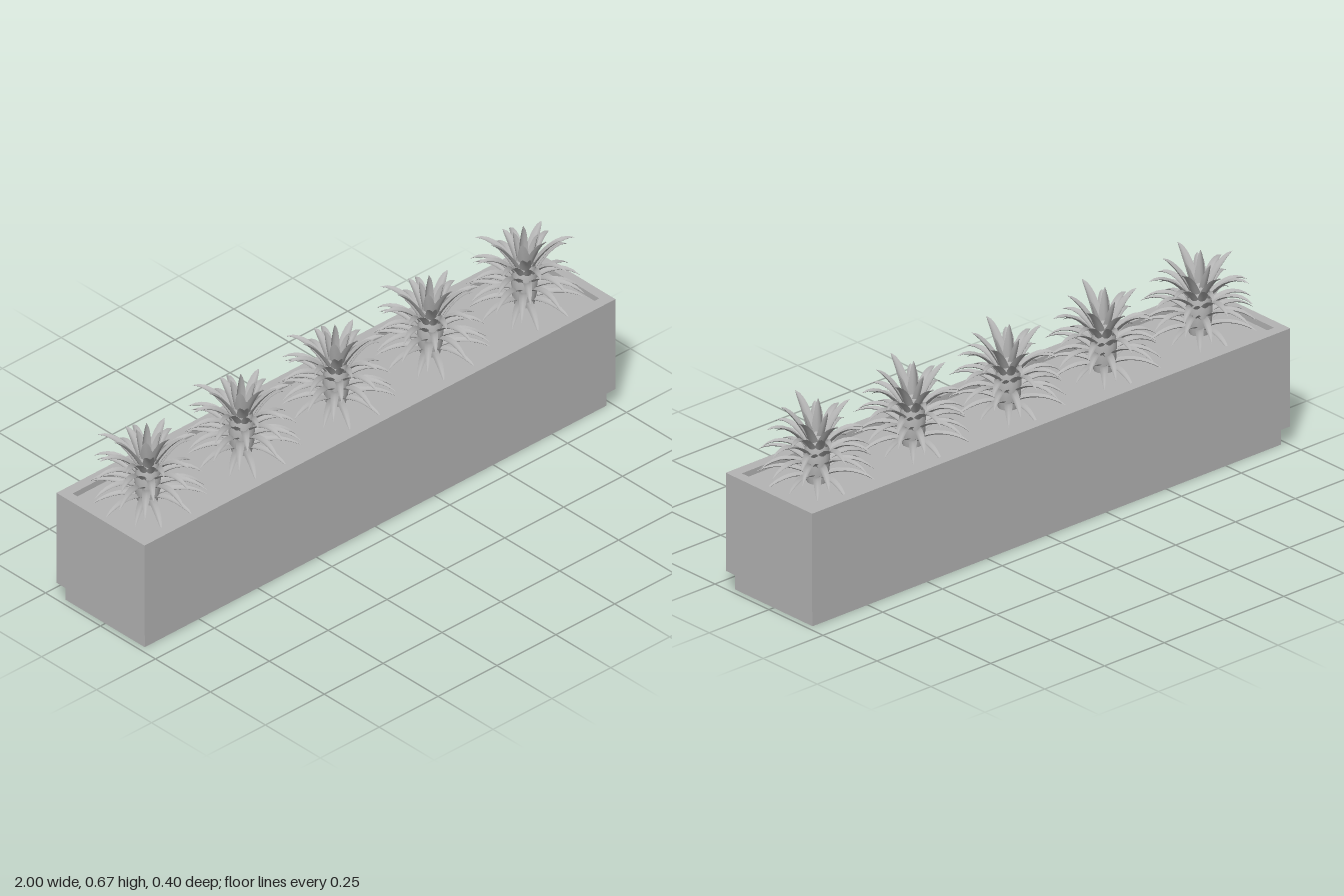
import * as THREE from 'three';
import { mergeGeometries } from 'three/addons/utils/BufferGeometryUtils.js';

const grey = new THREE.MeshStandardMaterial({ color: 0xb4b4b4 });
grey.name = 'stone grey';
const leafGrey = new THREE.MeshStandardMaterial({ color: 0xb4b4b4, side: THREE.DoubleSide });
leafGrey.name = 'leaf grey';

const SOIL_Y = 0.38;

// Tiers of leaves: count, first azimuth (0 = front), reach, root height, arch height, tip height, width
const TIERS = [
  [11, 0.15, 0.185, 0.395, 0.44, 0.395, 0.032],
  [11, 0.42, 0.190, 0.425, 0.50, 0.440, 0.034],
  [9, 0.10, 0.180, 0.450, 0.55, 0.500, 0.036],
  [8, 0.35, 0.165, 0.470, 0.59, 0.565, 0.038],
  [5, 0.63, 0.115, 0.490, 0.59, 0.615, 0.044],
  [1, 0.00, 0.100, 0.500, 0.62, 0.655, 0.046],
  [3, 1.20, 0.045, 0.510, 0.58, 0.625, 0.046],
  [1, 3.14, 0.006, 0.500, 0.60, 0.665, 0.050],
];

// Channelled, tapering leaf swept along an arching curve in the y-z plane
function leafGeometry(reach, rootY, archY, tipY, width) {
  const curve = new THREE.QuadraticBezierCurve3(
    new THREE.Vector3(0, rootY, 0.015),
    new THREE.Vector3(0, archY, 0.015 + reach * 0.45),
    new THREE.Vector3(0, tipY, reach));
  const rows = 8, cols = 4, pos = [], index = [];
  for (let i = 0; i <= rows; i++) {
    const t = i / rows;
    const p = curve.getPoint(t), d = curve.getTangent(t);
    const half = 0.5 * width * (0.75 + 0.9 * t) * Math.pow(1 - t, 0.75) + 0.0008;
    for (let j = 0; j <= cols; j++) {
      const s = (j / cols) * 2 - 1;
      const lift = half * 0.55 * s * s; // edges curl towards the upper side
      pos.push(s * half, p.y + d.z * lift, p.z - d.y * lift);
    }
  }
  for (let i = 0; i < rows; i++) {
    for (let j = 0; j < cols; j++) {
      const a = i * (cols + 1) + j, b = a + cols + 1;
      index.push(a, b, a + 1, a + 1, b, b + 1);
    }
  }
  const g = new THREE.BufferGeometry();
  g.setAttribute('position', new THREE.Float32BufferAttribute(pos, 3));
  g.setIndex(index);
  g.computeVertexNormals();
  return g;
}

function rosetteGeometry() {
  const leaves = [];
  TIERS.forEach(([count, start, reach, rootY, archY, tipY, width], tier) => {
    for (let i = 0; i < count; i++) {
      // small regular variation keeps the rosette natural
      const vary = Math.sin(i * 2.4 + tier * 1.7);
      const many = count > 3 ? 1 : 0;
      const g = leafGeometry(reach * (1 + 0.05 * many * (vary - 0.6)), rootY,
        archY + 0.012 * many * vary, tipY + 0.018 * many * vary, width);
      g.rotateY(start + (i / count) * Math.PI * 2 + 0.08 * many * vary);
      leaves.push(g);
    }
  });
  return mergeGeometries(leaves);
}

export function createModel() {
  const model = new THREE.Group();
  const add = (name, geometry, material, x = 0, y = 0, z = 0, parent = model) => {
    const mesh = new THREE.Mesh(geometry, material);
    mesh.name = name;
    mesh.position.set(x, y, z);
    parent.add(mesh);
    return mesh;
  };

  // Recessed plinth and trough floor
  add('plinth', new THREE.BoxGeometry(1.96, 0.063, 0.36), grey, 0, 0.0315, 0);
  add('troughFloor', new THREE.BoxGeometry(1.99, 0.02, 0.39), grey, 0, 0.073, 0);

  // Trough walls: one rectangular ring extruded upwards
  const rect = (Kind, w, d) => new Kind([
    new THREE.Vector2(-w, -d), new THREE.Vector2(w, -d),
    new THREE.Vector2(w, d), new THREE.Vector2(-w, d)]);
  const ring = rect(THREE.Shape, 1, 0.2);
  ring.holes.push(rect(THREE.Path, 0.966, 0.163));
  const walls = new THREE.ExtrudeGeometry(ring, { depth: 0.337, bevelEnabled: false });
  walls.rotateX(-Math.PI / 2);
  add('troughWalls', walls, grey, 0, 0.063, 0);

  // Soil
  add('soil', new THREE.BoxGeometry(1.94, 0.02, 0.334), grey, 0, SOIL_Y - 0.01, 0);

  // Row of five spiky plants
  const leaves = rosetteGeometry();
  const core = new THREE.LatheGeometry([
    [0.03, SOIL_Y - 0.01], [0.04, 0.42], [0.042, 0.47], [0.034, 0.52], [0.018, 0.555], [0, 0.565],
  ].map(([r, y]) => new THREE.Vector2(r, y)), 14);
  for (let i = 0; i < 5; i++) {
    const plant = new THREE.Group();
    plant.name = 'plant' + (i + 1);
    plant.position.x = -0.8 + i * 0.4;
    add('leaves', leaves, leafGrey, 0, 0, 0, plant);
    add('core', core, grey, 0, 0, 0, plant);
    model.add(plant);
  }
  return model;
}
